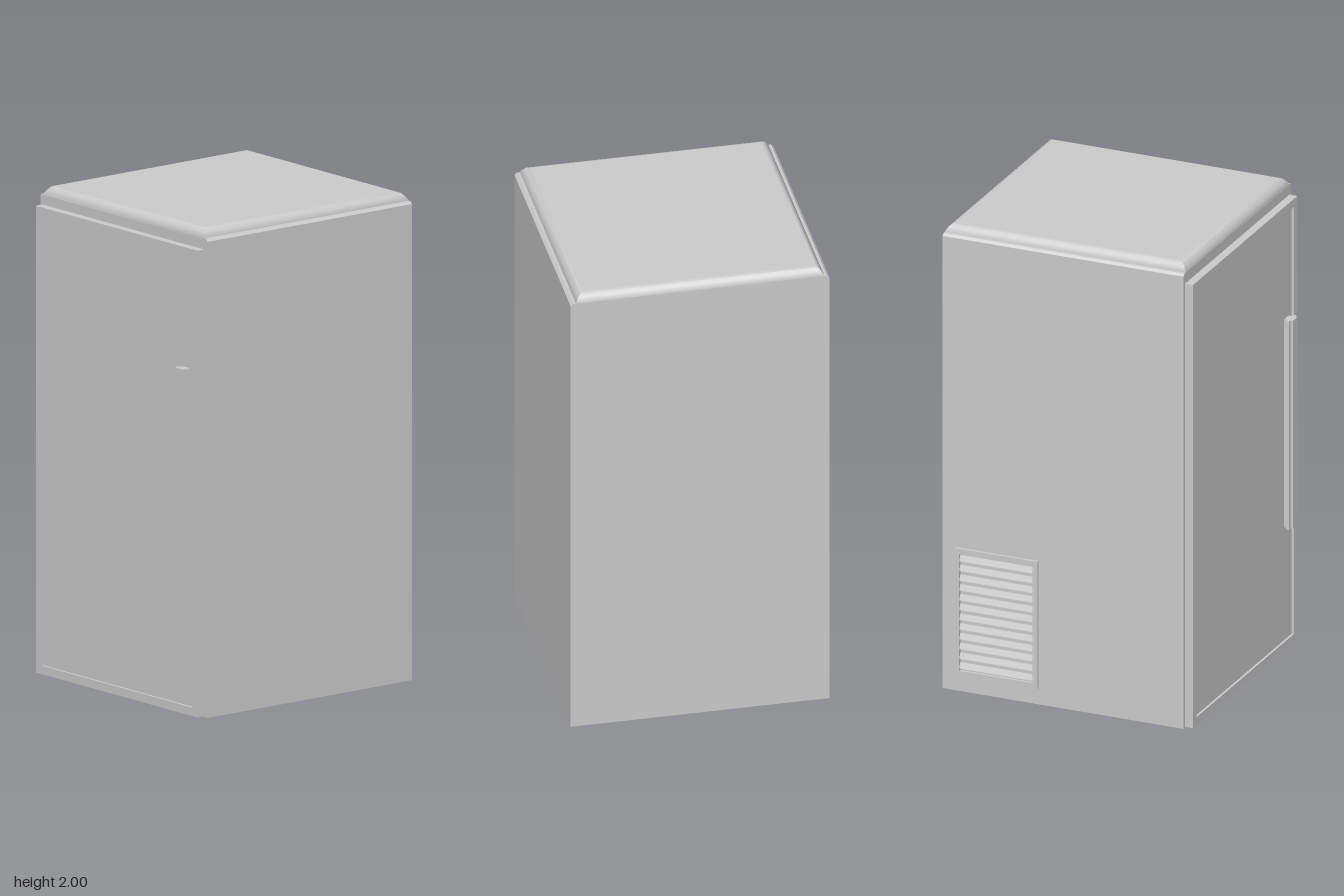
import * as THREE from 'three';
import { toCreasedNormals } from 'three/addons/utils/BufferGeometryUtils.js';

const grey = new THREE.MeshStandardMaterial({ color: 0xcccccc });

function add(parent, name, geometry) {
  const mesh = new THREE.Mesh(geometry, grey);
  mesh.name = name;
  parent.add(mesh);
  return mesh;
}

// Box given by its limits on each axis
function box(x0, x1, y0, y1, z0, z1) {
  return new THREE.BoxGeometry(x1 - x0, y1 - y0, z1 - z0)
    .translate((x0 + x1) / 2, (y0 + y1) / 2, (z0 + z1) / 2);
}

function rect(Type, x0, x1, y0, y1) {
  return new Type([[x0, y0], [x1, y0], [x1, y1], [x0, y1]].map(p => new THREE.Vector2(...p)));
}

// Rectangular frame in the xy plane, extruded along +z
function frame(x0, x1, y0, y1, border, depth) {
  const shape = rect(THREE.Shape, x0, x1, y0, y1);
  shape.holes.push(rect(THREE.Path, x0 + border, x1 - border, y0 + border, y1 - border));
  return new THREE.ExtrudeGeometry(shape, { depth, bevelEnabled: false });
}

// Slab with a rounded top edge, lofted through inset rectangles
function roundedLid(x0, x1, z0, z1, rings) {
  const pos = [], index = [];
  for (const [inset, y] of rings) {
    pos.push(x0 + inset, y, z1 - inset, x1 - inset, y, z1 - inset,
      x1 - inset, y, z0 + inset, x0 + inset, y, z0 + inset);
  }
  for (let r = 0; r < rings.length - 1; r++) {
    for (let i = 0; i < 4; i++) {
      const a = r * 4 + i, b = r * 4 + (i + 1) % 4;
      index.push(a, b, b + 4, a, b + 4, a + 4);
    }
  }
  const t = (rings.length - 1) * 4;
  index.push(t, t + 1, t + 2, t, t + 2, t + 3);
  const geometry = new THREE.BufferGeometry();
  geometry.setAttribute('position', new THREE.Float32BufferAttribute(pos, 3));
  geometry.setIndex(index);
  return toCreasedNormals(geometry, 0.75);
}

export function createModel() {
  const model = new THREE.Group();
  model.name = 'refrigerator';

  // Cabinet with small chamfers along its upper side edges
  const profile = new THREE.Shape([
    [-0.525, 0], [0.535, 0], [0.535, 1.955], [0.525, 1.965], [-0.515, 1.965], [-0.525, 1.955],
  ].map(p => new THREE.Vector2(...p)));
  add(model, 'cabinet', new THREE.ExtrudeGeometry(profile, { depth: 1.055, bevelEnabled: false })
    .translate(0, 0, -0.56));

  // Top cover
  add(model, 'topCover', roundedLid(-0.503, 0.513, -0.56, 0.495,
    [[0, 1.96], [0, 1.968], [0.012, 1.985], [0.022, 1.996], [0.032, 2], [0.037, 2]]));

  // Door: raised frame around a slightly recessed panel
  const door = new THREE.Group();
  door.name = 'door';
  model.add(door);
  add(door, 'doorFrame', frame(-0.51, 0.515, 0.003, 1.92, 0.035, 0.037).translate(0, 0, 0.493));
  add(door, 'doorPanel', box(-0.48, 0.485, 0.03, 1.89, 0.494, 0.52));

  // Handle: thick centre bar with thin side flanges
  const handle = new THREE.Group();
  handle.name = 'handle';
  door.add(handle);
  add(handle, 'handleBar', box(0.408, 0.452, 0.525, 1.425, 0.518, 0.558));
  add(handle, 'handleFlange', box(0.392, 0.468, 0.525, 1.425, 0.536, 0.547));

  // Louvred vent low on the right side, towards the back
  const vent = new THREE.Group();
  vent.name = 'vent';
  vent.position.set(-0.525, 0, -0.322);
  vent.rotation.y = -Math.PI / 2;
  model.add(vent);
  add(vent, 'ventFrame', frame(-0.182, 0.182, 0.07, 0.62, 0.022, 0.013).translate(0, 0, -0.001));
  const slats = 12;
  for (let i = 0; i < slats; i++) {
    const slat = add(vent, 'ventSlat', new THREE.BoxGeometry(0.324, 0.026, 0.004));
    slat.position.set(0, 0.092 + (i + 0.5) * 0.506 / slats, 0.004);
    slat.rotation.x = -0.4;
  }
  return model;
}
